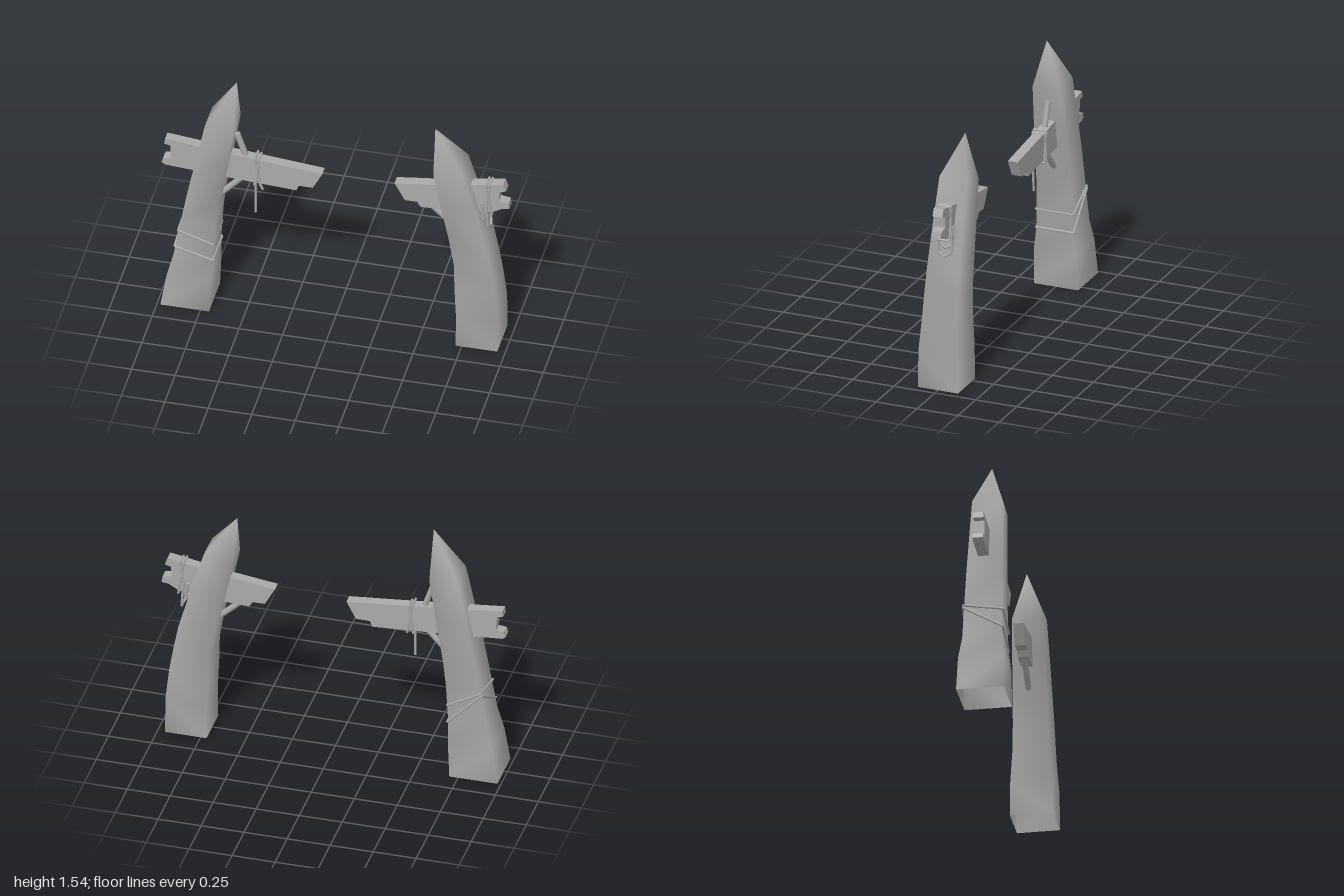
import * as THREE from 'three';

const wood = new THREE.MeshStandardMaterial({ color: 0xaaaaaa, side: THREE.DoubleSide });
wood.name = 'grey wood';

// Hollow post with smooth corners: rows of [outerX, outerY, innerX, innerY, halfDepth] and a sharpened tip.
function post(name, rows, tip) {
  const pos = [], idx = [];
  for (const [ox, oy, ix, iy, h] of rows) {
    pos.push(ox, oy, h, ix, iy, h, ix, iy, -h, ox, oy, -h);
  }
  const apex = rows.length * 4;
  pos.push(tip[0], tip[1], 0);
  const mirrored = tip[0] > 0;
  const tri = (a, b, c) => (mirrored ? idx.push(a, c, b) : idx.push(a, b, c));
  for (let r = 0; r < rows.length; r++) {
    for (let k = 0; k < 4; k++) {
      const a = r * 4 + k, b = r * 4 + (k + 1) % 4;
      if (r === rows.length - 1) tri(a, b, apex);
      else {
        tri(a, b, b + 4);
        tri(a, b + 4, a + 4);
      }
    }
  }
  const g = new THREE.BufferGeometry();
  g.setAttribute('position', new THREE.Float32BufferAttribute(pos, 3));
  g.setIndex(idx);
  g.computeVertexNormals();
  const m = new THREE.Mesh(g, wood);
  m.name = name;
  return m;
}

// Flat plank cut to an outline in x and y.
function plank(name, outline) {
  const shape = new THREE.Shape(outline.map(([x, y]) => new THREE.Vector2(x, y)));
  const g = new THREE.ExtrudeGeometry(shape, { depth: 0.06, bevelEnabled: false });
  g.translate(0, 0, -0.038);
  const m = new THREE.Mesh(g, wood);
  m.name = name;
  return m;
}

// Chain of thin round pieces through the given points.
function strand(name, points, radius, closed = false) {
  const group = new THREE.Group();
  group.name = name;
  const p = points.map((q) => new THREE.Vector3(...q));
  if (closed) p.push(p[0]);
  for (let i = 0; i + 1 < p.length; i++) {
    const d = p[i + 1].clone().sub(p[i]);
    const m = new THREE.Mesh(new THREE.CylinderGeometry(radius, radius, d.length() + radius * 0.6, 6), wood);
    m.name = name + 'Piece';
    m.position.copy(p[i]).addScaledVector(d, 0.5);
    m.quaternion.setFromUnitVectors(new THREE.Vector3(0, 1, 0), d.normalize());
    group.add(m);
  }
  return group;
}

// Rope loop around a plank, leaning from x0 at the bottom to x1 at the top.
function wrap(x0, x1, bottom, top) {
  const f = 0.03, b = -0.046;
  return strand('plankRope', [[x0, bottom, f], [x1, top, f], [x1, top, b], [x0, bottom, b]], 0.007, true);
}

export function createModel() {
  const model = new THREE.Group();
  model.name = 'stakeGate';

  // Posts
  model.add(
    post('rightPost', [
      [-0.98, 0, -0.70, 0, 0.135],
      [-0.945, 0.21, -0.69, 0.22, 0.13],
      [-0.91, 0.35, -0.687, 0.36, 0.112],
      [-0.865, 0.61, -0.672, 0.58, 0.106],
      [-0.835, 0.78, -0.655, 0.73, 0.102],
      [-0.79, 1.0, -0.61, 1.0, 0.095],
      [-0.735, 1.27, -0.57, 1.25, 0.086],
    ], [-0.572, 1.54]),
    post('leftPost', [
      [0.955, 0, 0.715, 0, 0.122],
      [0.955, 0.22, 0.717, 0.20, 0.12],
      [0.935, 0.42, 0.705, 0.38, 0.106],
      [0.91, 0.57, 0.70, 0.55, 0.102],
      [0.885, 0.70, 0.667, 0.74, 0.098],
      [0.815, 0.95, 0.62, 0.95, 0.092],
      [0.74, 1.2, 0.578, 1.15, 0.085],
    ], [0.57, 1.415]),
  );

  // Crossing planks with notched outer ends and broken inner ends
  model.add(
    plank('rightPlank', [
      [-0.98, 1.085], [-0.985, 1.05], [-0.95, 1.045], [-0.945, 0.955], [-0.99, 0.95], [-1, 0.92],
      [-0.98, 0.905], [-0.6, 0.877], [-0.225, 0.855], [-0.21, 0.89], [-0.13, 0.89], [-0.075, 0.995],
      [-0.45, 1.03],
    ]),
    plank('leftPlank', [
      [0.965, 1.105], [0.982, 1.06], [0.945, 1.05], [0.94, 0.985], [0.995, 0.975], [1, 0.94],
      [0.96, 0.935], [0.90, 0.90], [0.60, 0.87], [0.49, 0.865], [0.47, 0.897], [0.40, 0.897],
      [0.34, 1.005], [0.61, 1.04],
    ]),
  );

  // Braces between posts and planks
  for (const ends of [
    [[-0.57, 1.17, -0.008], [-0.52, 1.02, -0.008]],
    [[-0.65, 0.755, -0.008], [-0.53, 0.885, -0.008]],
    [[0.67, 0.755, -0.008], [0.53, 0.885, -0.008]],
  ]) model.add(strand('brace', ends, 0.018));

  // Ropes around the planks, with hanging ends
  model.add(
    wrap(-0.43, -0.46, 0.86, 1.04),
    wrap(-0.465, -0.44, 0.86, 1.03),
    strand('hangingRope', [[-0.44, 1.0, 0.035], [-0.455, 0.86, 0.035], [-0.457, 0.67, 0.03]], 0.007),
    strand('hangingRope', [[-0.44, 0.9, 0.036], [-0.415, 0.84, 0.034]], 0.007),
    wrap(0.86, 0.89, 0.89, 1.09),
    wrap(0.90, 0.87, 0.89, 1.09),
  );
  for (const [x, y] of [[0.855, 0.83], [0.88, 0.785]]) {
    model.add(strand('slackRope', [
      [x - 0.01, 0.96, 0.033], [x, y + 0.025, 0.03], [x + 0.01, y, -0.008], [x, y + 0.025, -0.046], [x - 0.01, 0.96, -0.048],
    ], 0.008));
  }

  // Ropes slung around the right post
  for (const [outer, middle, inner] of [[0.565, 0.525, 0.46], [0.55, 0.41, 0.35]]) {
    const ox = (y) => -0.975 + 0.175 * y;
    model.add(strand('postRope', [
      [ox(outer), outer, -0.112], [ox(middle), middle, 0.114], [-0.683, inner, 0.114], [-0.683, inner, -0.114],
    ], 0.007, true));
  }
  return model;
}
